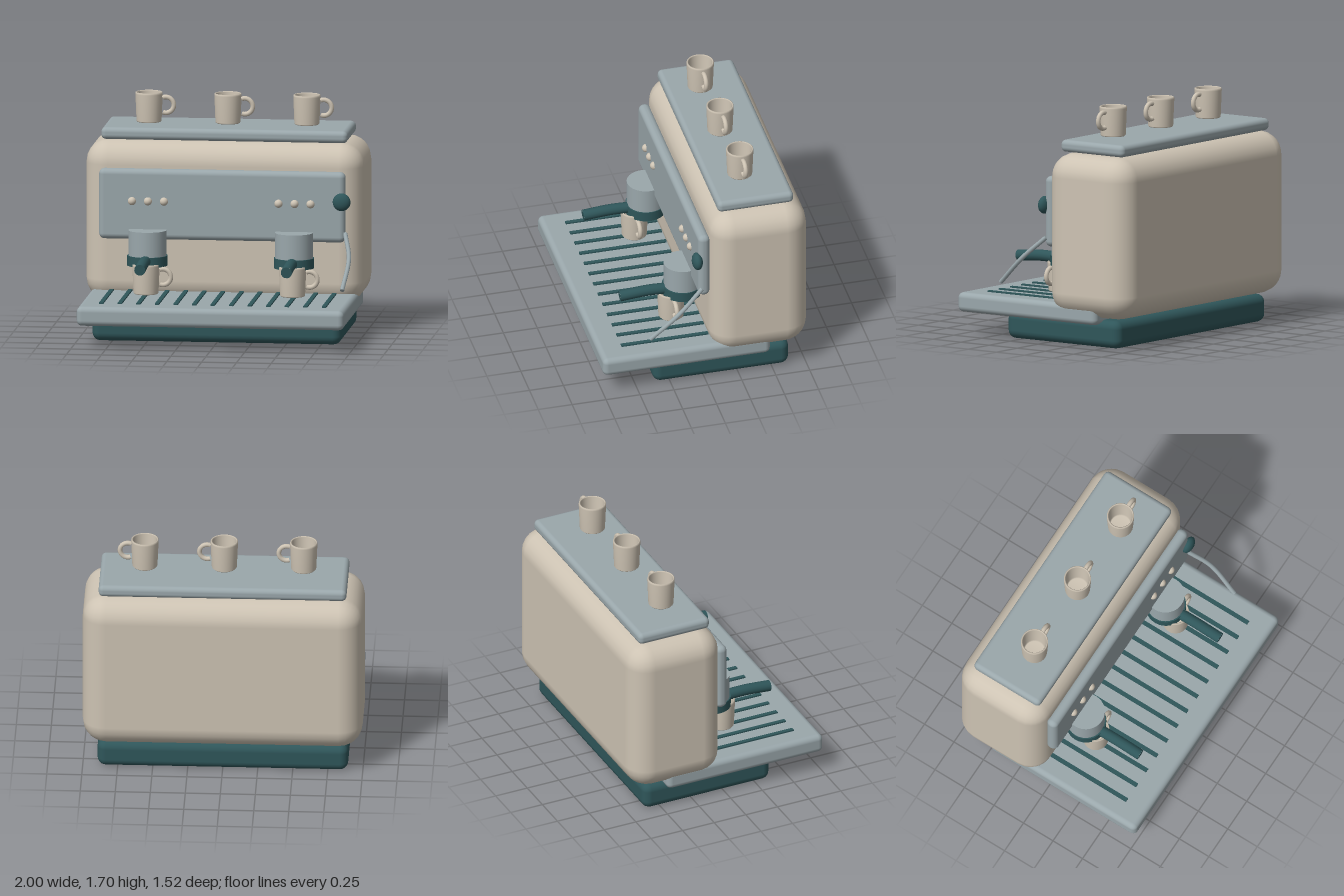
import * as THREE from 'three';
import { RoundedBoxGeometry } from 'three/addons/geometries/RoundedBoxGeometry.js';

export function createModel() {
  const material = (name, color) => {
    const m = new THREE.MeshStandardMaterial({ color });
    m.name = name;
    return m;
  };
  const cream = material('cream', 0xcdc3b3);
  const steel = material('steel', 0x9aa7ab);
  const teal = material('dark teal', 0x2f565a);

  const machine = new THREE.Group();
  machine.name = 'espressoMachine';

  const add = (name, geometry, mat, x = 0, y = 0, z = 0, parent = machine) => {
    const mesh = new THREE.Mesh(geometry, mat);
    mesh.name = name;
    mesh.position.set(x, y, z);
    parent.add(mesh);
    return mesh;
  };

  // Rounded slab given by its half width and its y and z extents
  const slab = (name, mat, hx, y0, y1, z0, z1, radius, segments = 3) =>
    add(name, new RoundedBoxGeometry(hx * 2, y1 - y0, z1 - z0, segments, radius),
      mat, 0, (y0 + y1) / 2, (z0 + z1) / 2);

  slab('base', teal, 0.895, 0, 0.2, -0.63, 0.37, 0.06);
  slab('dripTray', steel, 0.96, 0.165, 0.305, -0.475, 0.757, 0.04);
  slab('body', cream, 1, 0.21, 1.38, -0.76, -0.04, 0.17);
  slab('cupShelf', steel, 0.885, 1.383, 1.47, -0.665, -0.105, 0.035);
  slab('controlPanel', steel, 0.885, 0.687, 1.195, -0.05, 0.036, 0.04);

  // Dark bars of the drip grille
  const bar = new THREE.BoxGeometry(0.03, 0.014, 0.64);
  for (let i = -6; i <= 6; i++) add('grilleBar', bar, teal, i * 0.1333, 0.308, 0.268);

  // Hollow cup with a ring handle on its +x side
  const cupProfile = [
    [0, 0], [0.083, 0], [0.09, 0.008], [0.098, 0.2], [0.097, 0.212], [0.091, 0.215],
    [0.085, 0.208], [0.078, 0.035], [0.07, 0.025], [0, 0.025],
  ].map(([r, y]) => new THREE.Vector2(r, y));
  const cupGeometry = new THREE.LatheGeometry(cupProfile, 28);
  // Arc of the ring outside the cup wall
  const cupHandle = new THREE.TorusGeometry(0.057, 0.017, 10, 20, Math.PI * 1.25);
  cupHandle.rotateZ(-Math.PI * 0.625);
  const addCup = (x, y, z) => {
    const cup = new THREE.Group();
    cup.name = 'cup';
    cup.position.set(x, y, z);
    add('cupBowl', cupGeometry, cream, 0, 0, 0, cup);
    add('cupHandle', cupHandle, cream, 0.121, 0.122, 0, cup);
    machine.add(cup);
  };
  for (const x of [-0.567, 0, 0.567]) addCup(x, 1.483, -0.345);

  // Two brew groups, each with buttons, filter holder and cup
  const handleCurve = new THREE.CatmullRomCurve3([
    new THREE.Vector3(0, 0.55, 0.1),
    new THREE.Vector3(0, 0.558, 0.32),
    new THREE.Vector3(0, 0.543, 0.528),
  ]);
  const handleGeometry = new THREE.TubeGeometry(handleCurve, 12, 0.04, 14);
  const button = new THREE.SphereGeometry(0.03, 16, 12);
  for (const x of [-0.53, 0.523]) {
    add('brewHead', new THREE.CylinderGeometry(0.137, 0.137, 0.2, 32), steel, x, 0.663, 0.065);
    add('filterRing', new THREE.CylinderGeometry(0.144, 0.144, 0.072, 32), teal, x, 0.546, 0.068);
    add('filterHandle', handleGeometry, teal, x);
    const cap = add('filterHandleCap', new THREE.CircleGeometry(0.04, 14), teal, x, 0.543, 0.528);
    cap.rotation.x = 0.1;
    for (const dx of [-0.115, 0, 0.115]) add('button', button, cream, x + dx, 0.965, 0.033);
    addCup(x, 0.317, 0.15);
  }

  // Steam knob and curved wand
  const knob = add('steamKnob', new THREE.SphereGeometry(0.064, 20, 14), teal, 0.862, 0.985, 0.043);
  knob.scale.z = 0.6;
  const wandCurve = new THREE.CatmullRomCurve3([
    new THREE.Vector3(0.885, 0.755, 0.015),
    new THREE.Vector3(0.932, 0.6, 0.19),
    new THREE.Vector3(0.908, 0.403, 0.4),
  ]);
  add('steamWand', new THREE.TubeGeometry(wandCurve, 20, 0.016, 10), steel);
  for (const t of [0, 1]) {
    const end = add('steamWandEnd', new THREE.CircleGeometry(0.016, 10), steel);
    const p = wandCurve.getPoint(t);
    const outward = wandCurve.getTangent(t).multiplyScalar(t ? 1 : -1);
    end.position.copy(p);
    end.lookAt(p.clone().add(outward));
  }

  return machine;
}
